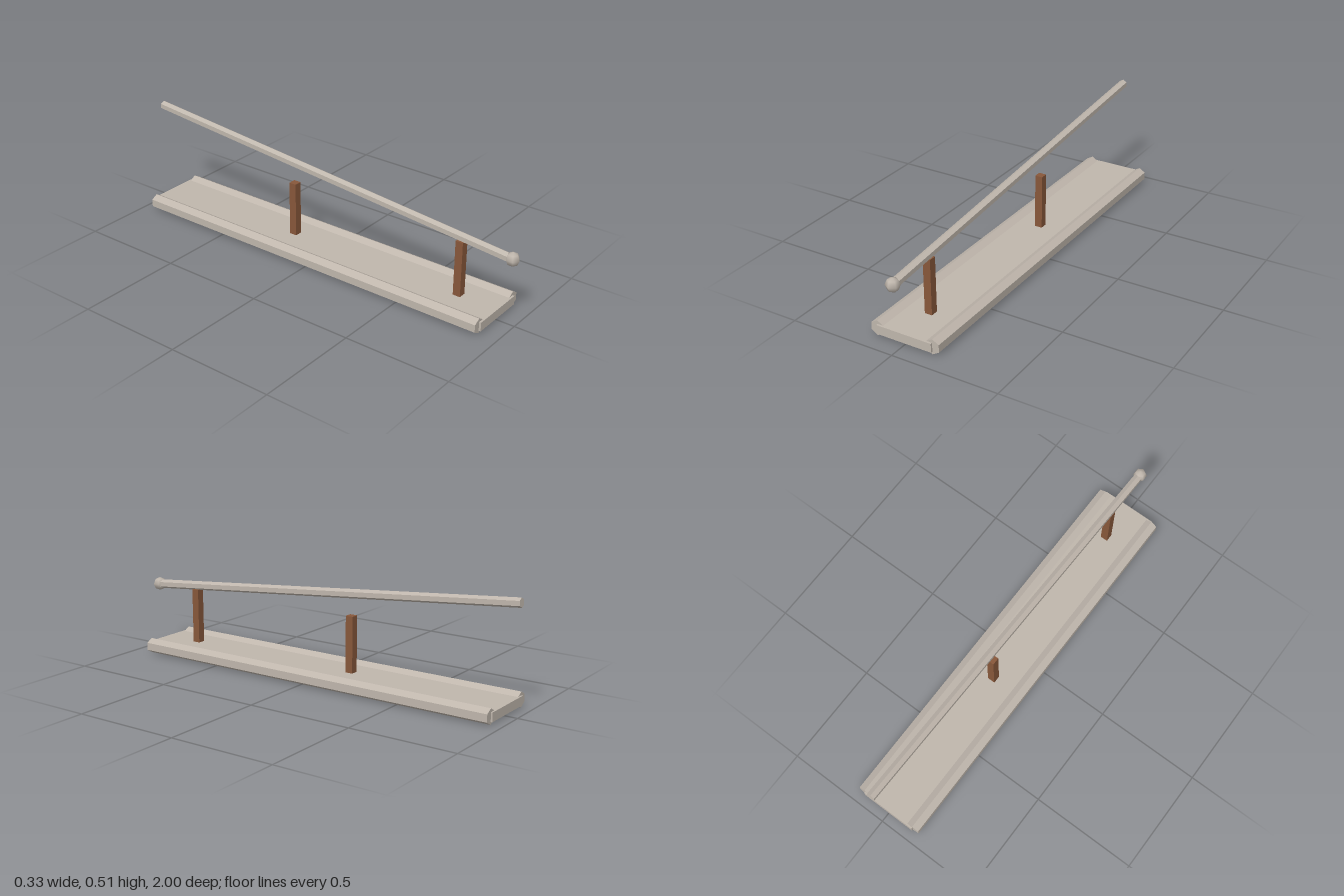
import * as THREE from 'three';

const stone = new THREE.MeshStandardMaterial({ color: 0xbfb6ac });
stone.name = 'warm grey';
const wood = new THREE.MeshStandardMaterial({ color: 0x87573a });
wood.name = 'brown wood';

// Faceted six-sided bar lying along z, with one edge pointing up
function hexBar(radius, length) {
  const geometry = new THREE.CylinderGeometry(radius, radius, length, 6).rotateX(Math.PI / 2).toNonIndexed();
  geometry.computeVertexNormals();
  return geometry;
}

export function createModel() {
  const model = new THREE.Group();
  model.name = 'leverStand';

  function add(name, geometry, material, x, y, z) {
    const mesh = new THREE.Mesh(geometry, material);
    mesh.name = name;
    mesh.position.set(x, y, z);
    model.add(mesh);
    return mesh;
  }

  // Base plate with a hexagonal rail along each long edge
  add('basePlate', new THREE.BoxGeometry(0.27, 0.042, 1.873), stone, 0, 0.033, -0.018);
  for (const side of [-1, 1]) {
    add(side > 0 ? 'leftRail' : 'rightRail', hexBar(0.0355, 1.856), stone, side * 0.136, 0.0355, -0.019);
  }

  // Upright posts
  const postBottom = 0.04, postTop = 0.315;
  for (const [name, z] of [['frontPost', 0.723], ['middlePost', -0.174]]) {
    add(name, new THREE.BoxGeometry(0.036, postTop - postBottom, 0.036), wood, 0, (postTop + postBottom) / 2, z);
  }

  // Sloping rod, rising towards the back, with a knob at its front end
  const front = new THREE.Vector3(0, 0.311, 0.968);
  const back = new THREE.Vector3(0, 0.489, -0.998);
  const middle = front.clone().add(back).multiplyScalar(0.5);
  const rod = add('rod', hexBar(0.0215, front.distanceTo(back)), stone, 0, middle.y, middle.z);
  rod.rotation.x = Math.atan2(back.y - front.y, front.z - back.z);

  const knob = new THREE.SphereGeometry(0.032, 6, 4).rotateY(Math.PI / 2);
  add('knob', knob, stone, front.x, front.y, front.z);

  return model;
}
